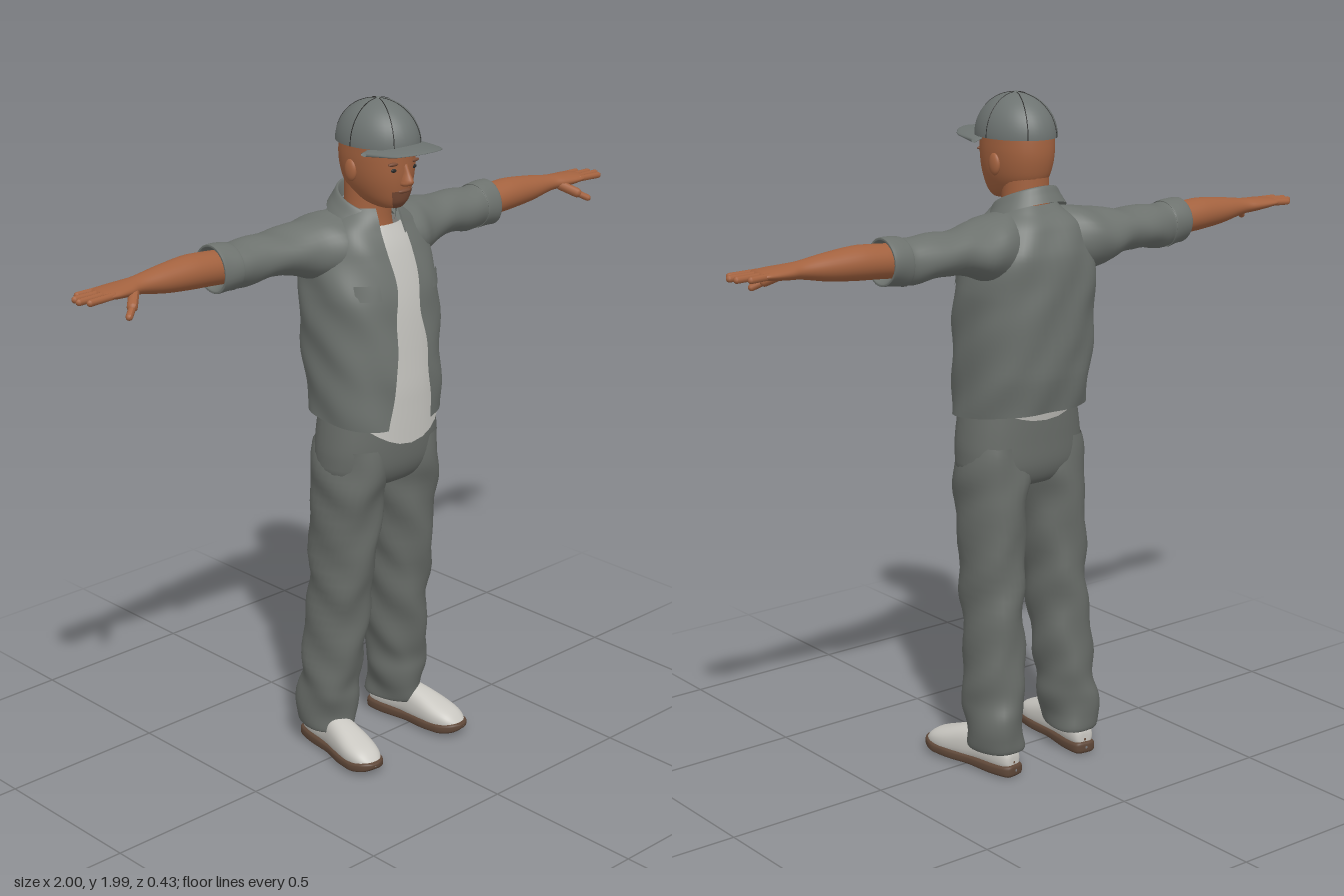
import * as THREE from 'three';

const mat = (name, color, side = THREE.FrontSide) => {
  const m = new THREE.MeshStandardMaterial({ color, side });
  m.name = name;
  return m;
};

const spline = (a, b, c, d, u) => {
  const v = 0.5 * (2 * b + (c - a) * u + (2 * a - 5 * b + 4 * c - d) * u * u + (3 * b - a - 3 * c + d) * u ** 3);
  return Math.min(Math.max(v, Math.min(b, c)), Math.max(b, c));
};

// Smooth loft through rows [t, c1, c2, r1, r2, frontGap].
// Axis y reads (x,y,z) = (c1,t,c2); axes x and z are cyclic shifts of that.
function loft(rows, { axis = 'y', steps = 5, seg = 32, power = 1, arc = null, warp = null } = {}) {
  const pos = [], idx = [], open = arc || rows[0][5] !== undefined;
  const n = open ? seg + 1 : seg, rings = (rows.length - 1) * steps + 1;
  const pw = v => Math.sign(v) * Math.abs(v) ** power;
  for (let i = 0; i < rings; i++) {
    const k = Math.min(Math.floor(i / steps), rows.length - 2), u = i / steps - k;
    const row = q => rows[Math.min(Math.max(q, 0), rows.length - 1)];
    const [t, c1, c2, r1, r2, gap] = rows[0].map((_, j) =>
      spline(row(k - 1)[j], row(k)[j], row(k + 1)[j], row(k + 2)[j], u));
    let a0 = 0, a1 = Math.PI * 2;
    if (arc) [a0, a1] = arc;
    else if (open) { a0 = Math.asin(Math.min(1, gap / r1) ** (1 / power)); a1 -= a0; }
    for (let j = 0; j < n; j++) {
      const a = a0 + (a1 - a0) * j / seg;
      const p = c1 + r1 * pw(Math.sin(a)), q = c2 + r2 * pw(Math.cos(a));
      const v = axis === 'y' ? new THREE.Vector3(p, t, q)
        : axis === 'x' ? new THREE.Vector3(t, q, p) : new THREE.Vector3(q, p, t);
      if (warp) warp(v);
      pos.push(v.x, v.y, v.z);
    }
  }
  for (let i = 0; i < rings - 1; i++) for (let j = 0; j < seg; j++) {
    const a = i * n + j, b = i * n + (j + 1) % n, c = a + n, d = b + n;
    idx.push(a, b, c, b, d, c);
  }
  const g = new THREE.BufferGeometry();
  g.setAttribute('position', new THREE.Float32BufferAttribute(pos, 3));
  g.setIndex(idx);
  g.computeVertexNormals();
  return g;
}

// Copy reflected in x with its faces turned back outward
function mirrored(g) {
  const m = g.clone().scale(-1, 1, 1), ix = m.index.array;
  for (let i = 0; i < ix.length; i += 3) [ix[i], ix[i + 1]] = [ix[i + 1], ix[i]];
  m.computeVertexNormals();
  return m;
}

function capsule(a, b, r) {
  const A = new THREE.Vector3(...a), d = new THREE.Vector3(...b).sub(A);
  const g = new THREE.CapsuleGeometry(r, d.length(), 4, 10);
  g.applyQuaternion(new THREE.Quaternion().setFromUnitVectors(new THREE.Vector3(0, 1, 0), d.clone().normalize()));
  const c = A.addScaledVector(d, 0.5);
  return g.translate(c.x, c.y, c.z);
}

const ball = (sx, sy, sz, x, y, z) => new THREE.SphereGeometry(1, 20, 14).scale(sx, sy, sz).translate(x, y, z);

// Soft cloth folds
const folds = amp => v => {
  const { x, y, z } = v;
  v.x += amp * Math.sin(y * 37 + z * 28);
  v.z += amp * Math.sin(y * 24 + x * 42);
};

export function createModel() {
  const root = new THREE.Group();
  root.name = 'man';
  const skin = mat('skin', 0xa3623f), stubble = mat('stubble', 0x7a4c36, THREE.DoubleSide);
  const jacket = mat('jacket grey', 0x6d726e, THREE.DoubleSide), trouser = mat('trouser grey', 0x676b67, THREE.DoubleSide);
  const cap = mat('cap grey', 0x6d7371, THREE.DoubleSide), shirt = mat('shirt white', 0xc4c3be, THREE.DoubleSide);
  const shoe = mat('shoe white', 0xc9c7c1), sole = mat('sole brown', 0x5e4738), dark = mat('dark seam', 0x2a2a29);
  const add = (name, g, m, parent = root) => {
    const mesh = new THREE.Mesh(g, m);
    mesh.name = name;
    parent.add(mesh);
    return mesh;
  };
  const pair = (name, g, m) => { add('left' + name, g, m); add('right' + name, mirrored(g), m); };

  // Head and neck
  add('neck', loft([[1.58, 0, -0.05, 0.085, 0.075], [1.65, 0, -0.048, 0.07, 0.066], [1.76, 0, -0.045, 0.068, 0.068]]), skin);
  add('head', loft([[1.682, 0, 0.045, 0.002, 0.002], [1.685, 0, 0.04, 0.032, 0.036], [1.705, 0, 0.013, 0.058, 0.079],
    [1.74, 0, -0.002, 0.077, 0.104], [1.78, 0, -0.007, 0.088, 0.115], [1.83, 0, -0.009, 0.093, 0.119],
    [1.89, 0, -0.005, 0.093, 0.115], [1.94, 0, 0, 0.06, 0.08]], { power: 0.93 }), skin);
  add('goatee', loft([[1.685, 0, 0.04, 0.034, 0.039], [1.705, 0, 0.013, 0.06, 0.082], [1.738, 0, -0.001, 0.079, 0.106]],
    { arc: [-0.5, 0.5], power: 0.93 }), stubble);
  add('nose', loft([[1.75, 0, 0.1, 0.004, 0.004], [1.757, 0, 0.108, 0.018, 0.02], [1.768, 0, 0.108, 0.016, 0.026],
    [1.79, 0, 0.102, 0.01, 0.02], [1.815, 0, 0.1, 0.009, 0.01]], { seg: 16 }), skin);
  add('lips', ball(0.024, 0.006, 0.008, 0, 1.737, 0.101), stubble);
  pair('Ear', ball(0.012, 0.032, 0.022, 0.09, 1.79, -0.02), skin);
  pair('Eye', ball(0.014, 0.006, 0.004, 0.035, 1.8, 0.099), dark);
  pair('Brow', ball(0.022, 0.006, 0.008, 0.037, 1.818, 0.098), stubble);

  // Cap with panel seams and a curved visor
  const capBase = 1.862, cr = [0.107, 0.121, 0.134];
  add('capDome', new THREE.SphereGeometry(1, 36, 14, 0, Math.PI * 2, 0, Math.PI / 2)
    .scale(...cr).translate(0, capBase, -0.004), cap);
  for (const az of [0.5, Math.PI / 2, Math.PI - 0.5]) {
    const pts = [];
    for (let i = 0; i <= 20; i++) {
      const e = Math.PI * i / 20, h = Math.cos(e);
      pts.push(new THREE.Vector3(cr[0] * h * Math.sin(az), capBase + cr[1] * Math.sin(e), cr[2] * h * Math.cos(az) - 0.004));
    }
    add('capSeam', new THREE.TubeGeometry(new THREE.CatmullRomCurve3(pts), 40, 0.0014, 5), dark);
  }
  add('capButton', ball(0.008, 0.004, 0.008, 0, capBase + cr[1], -0.004), cap);
  const visor = [];
  for (let i = 0; i <= 12; i++) {
    const u = i / 6 - 1, out = 0.06 + 0.153 * Math.sqrt(1 - u * u) + 0.002;
    visor.push([u * 0.108, (out + 0.04) / 2, 1.866 - 0.018 * u * u, (out - 0.04) / 2, 0.005]);
  }
  add('capVisor', loft(visor, { axis: 'x', steps: 3, seg: 24 }), cap);

  // Shirt, longest at the middle of the hem
  add('shirt', loft([[1.0, 0, 0.003, 0.185, 0.133], [1.1, 0, -0.008, 0.183, 0.144], [1.2, 0, -0.02, 0.183, 0.153],
    [1.4, 0, -0.035, 0.185, 0.149], [1.55, 0, -0.05, 0.15, 0.128], [1.63, 0, -0.045, 0.085, 0.088]], {
    power: 0.85, warp: v => { v.y += 3 * v.x * v.x * Math.max(0, (1.15 - v.y) / 0.15); } }), shirt);

  // Open jacket body, collar, pocket flaps
  const cloth = folds(0.0035);
  add('jacketBody', loft([[1.07, 0, -0.018, 0.196, 0.159, 0.085], [1.2, 0, -0.028, 0.199, 0.173, 0.065],
    [1.35, 0, -0.04, 0.204, 0.171, 0.05], [1.45, 0, -0.047, 0.203, 0.168, 0.045], [1.55, 0, -0.06, 0.188, 0.151, 0.045],
    [1.62, 0, -0.06, 0.15, 0.123, 0.045], [1.66, 0, -0.05, 0.1, 0.098, 0.045], [1.68, 0, -0.048, 0.08, 0.08, 0.04]], {
    power: 0.82, seg: 56, steps: 7,
    warp: v => { v.y -= 0.11 * v.z * Math.max(0, (1.2 - v.y) / 0.13); cloth(v); } }), jacket);
  add('collar', loft([[1.645, 0, -0.045, 0.122, 0.112, 0.045], [1.672, 0, -0.045, 0.105, 0.1, 0.042],
    [1.7, 0, -0.045, 0.086, 0.086, 0.04], [1.66, 0, -0.045, 0.076, 0.077, 0.04]],
    { warp: v => { v.y -= 0.42 * (v.z + 0.05); } }), jacket);
  pair('PocketFlap', loft([[1.44, 0, -0.046, 0.207, 0.173], [1.485, 0, -0.05, 0.204, 0.168]],
    { arc: [0.42, 0.85], power: 0.82, seg: 12, warp: cloth }), jacket);

  // Arms: sleeve with cuff, forearm, hand, fingers
  const sleeve = loft([[0.05, -0.06, 1.58, 0.09, 0.08], [0.13, -0.073, 1.566, 0.118, 0.096], [0.2, -0.09, 1.565, 0.106, 0.083],
    [0.3, -0.1, 1.575, 0.086, 0.061], [0.42, -0.1, 1.57, 0.074, 0.065], [0.465, -0.098, 1.571, 0.067, 0.064],
    [0.47, -0.098, 1.571, 0.07, 0.068], [0.527, -0.095, 1.573, 0.066, 0.068], [0.529, -0.095, 1.573, 0.06, 0.061],
    [0.5, -0.095, 1.574, 0.046, 0.046]],
    { axis: 'x', warp: v => { v.y += 0.003 * Math.sin(v.x * 45 + v.z * 25); v.z += 0.003 * Math.sin(v.x * 38 + v.y * 30); } });
  const forearm = loft([[0.49, -0.095, 1.575, 0.05, 0.048], [0.6, -0.094, 1.583, 0.052, 0.048], [0.7, -0.092, 1.584, 0.044, 0.039],
    [0.785, -0.09, 1.586, 0.034, 0.025], [0.83, -0.088, 1.586, 0.042, 0.021], [0.88, -0.086, 1.587, 0.047, 0.017],
    [0.912, -0.086, 1.588, 0.045, 0.012], [0.922, -0.086, 1.588, 0.03, 0.004]], { axis: 'x' });
  const hand = [[-0.036, 0.974], [-0.013, 0.99], [0.01, 0.984], [0.033, 0.957]].map(([dz, tip]) =>
    capsule([0.895, 1.588, -0.086 - dz], [tip, 1.586, -0.086 - dz * 1.12], 0.0098));
  const thumb = [capsule([0.82, 1.578, -0.062], [0.855, 1.555, -0.025], 0.015), capsule([0.85, 1.557, -0.028], [0.882, 1.538, -0.004], 0.01)];
  for (const s of [1, -1]) {
    const arm = new THREE.Group(), side = g => s > 0 ? g : mirrored(g);
    arm.name = s > 0 ? 'leftArm' : 'rightArm';
    arm.position.z = s * 0.011;
    add('sleeve', side(sleeve), jacket, arm);
    add('forearm', side(forearm), skin, arm);
    hand.forEach(g => add('finger', side(g), skin, arm));
    thumb.forEach(g => add('thumb', side(g), skin, arm));
    root.add(arm);
  }

  // Trousers
  add('hips', loft([[0.855, 0, -0.02, 0.04, 0.05], [0.87, 0, -0.018, 0.15, 0.1], [0.92, 0, -0.015, 0.203, 0.127],
    [1.0, 0, -0.012, 0.2, 0.132], [1.1, 0, -0.012, 0.183, 0.13]], { power: 0.88 }), trouser);
  pair('TrouserLeg', loft([[0.1, 0.143, -0.08, 0.05, 0.06], [0.075, 0.143, -0.084, 0.07, 0.092], [0.12, 0.144, -0.082, 0.074, 0.096],
    [0.18, 0.141, -0.075, 0.081, 0.1], [0.23, 0.138, -0.07, 0.079, 0.096], [0.3, 0.132, -0.064, 0.082, 0.1],
    [0.45, 0.123, -0.05, 0.08, 0.102], [0.6, 0.118, -0.036, 0.083, 0.108], [0.8, 0.109, -0.025, 0.094, 0.115],
    [0.9, 0.103, -0.017, 0.101, 0.123], [0.99, 0.1, -0.012, 0.09, 0.115]],
    { power: 0.93, warp: folds(0.005) }), trouser);

  // Shoes, toes turned slightly outward
  const upper = loft([[-0.168, 0.045, 0, 0.004, 0.004], [-0.162, 0.052, 0, 0.03, 0.028], [-0.12, 0.062, 0, 0.05, 0.038],
    [-0.04, 0.068, 0, 0.057, 0.04], [0.02, 0.062, 0, 0.054, 0.047], [0.09, 0.05, 0, 0.042, 0.053],
    [0.14, 0.042, 0, 0.03, 0.045], [0.168, 0.036, 0, 0.012, 0.024], [0.172, 0.036, 0, 0.002, 0.004]], { axis: 'z', power: 0.85 });
  const tread = loft([[-0.176, 0.022, 0, 0.004, 0.004], [-0.166, 0.02, 0, 0.019, 0.034], [-0.1, 0.019, 0, 0.019, 0.044],
    [-0.02, 0.02, 0, 0.017, 0.044], [0.06, 0.022, 0, 0.018, 0.057], [0.12, 0.024, 0, 0.018, 0.058],
    [0.16, 0.03, 0, 0.016, 0.042], [0.178, 0.034, 0, 0.008, 0.018], [0.181, 0.035, 0, 0.001, 0.002]], { axis: 'z', power: 0.55 });
  for (const s of [1, -1]) {
    const foot = new THREE.Group();
    foot.name = s > 0 ? 'leftShoe' : 'rightShoe';
    foot.position.x = s * 0.16;
    foot.rotation.y = s * 0.14;
    add('upper', upper, shoe, foot);
    add('sole', tread, sole, foot);
    root.add(foot);
  }
  return root;
}
